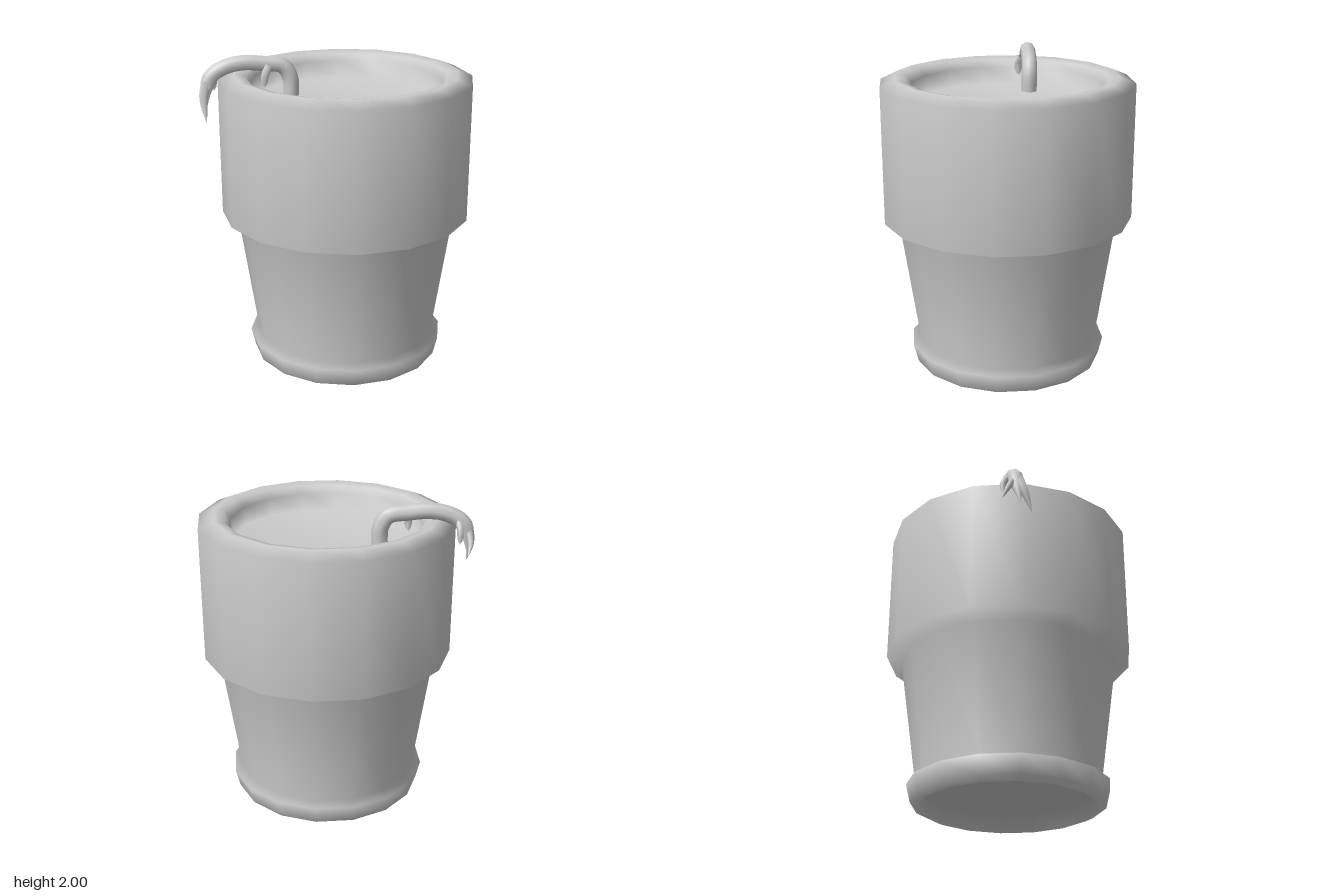
import * as THREE from 'three';

const material = new THREE.MeshStandardMaterial({ color: 0xcccccc, side: THREE.DoubleSide });
const V = (x, y, z) => new THREE.Vector3(x, y, z);

// Tube along a curve whose radius follows radiusAt(u); a zero radius closes the end
function taperedTube(name, points, radiusAt, segments = 16, sides = 8) {
  const curve = new THREE.CatmullRomCurve3(points);
  const geometry = new THREE.TubeGeometry(curve, segments, 1, sides);
  const position = geometry.attributes.position;
  const v = V(0, 0, 0);
  for (let i = 0; i < position.count; i++) {
    const u = Math.floor(i / (sides + 1)) / segments;
    const centre = curve.getPointAt(u);
    v.fromBufferAttribute(position, i).sub(centre).multiplyScalar(radiusAt(u)).add(centre);
    position.setXYZ(i, v.x, v.y, v.z);
  }
  const mesh = new THREE.Mesh(geometry, material);
  mesh.name = name;
  return mesh;
}

export function createModel() {
  const model = new THREE.Group();
  model.name = 'pottedPlant';

  // Pot: one smooth 16-sided turning, from the recessed underside
  // over foot, wall, collar and rim to the soil
  const profile = [
    [0, 0.12], [0.54, 0.12], [0.56, 0.005], [0.61, 0.03], [0.638, 0.145], [0.585, 0.17],
    [0.7, 0.96], [0.797, 1.0], [0.797, 1.86], [0.7, 1.9], [0.635, 1.885], [0.6, 1.84],
    [0.585, 1.73], [0, 1.73],
  ].map(([r, y]) => new THREE.Vector2(r, y));
  const pot = new THREE.Mesh(new THREE.LatheGeometry(profile, 16), material);
  pot.name = 'pot';
  pot.position.x = 0.06;
  model.add(pot);

  // Stem: grows from the soil, bends over the rim and droops outside
  const stem = taperedTube('stem', [
    V(-0.28, 1.71, -0.11), V(-0.285, 1.85, -0.11), V(-0.33, 1.92, -0.105), V(-0.45, 1.94, -0.09),
    V(-0.58, 1.95, -0.075), V(-0.7, 1.925, -0.06), V(-0.78, 1.87, -0.05), V(-0.81, 1.78, -0.04),
    V(-0.815, 1.66, -0.02),
  ], u => u > 0.8 ? 0.05 * (1 - u) / 0.2 : 0.05, 32, 8);
  model.add(stem);

  // Withered leaves: small hanging shoots, given as path, radius and taper power
  const leaves = [
    ['innerLeaf', [V(-0.42, 1.93, -0.05), V(-0.445, 1.88, -0.025), V(-0.45, 1.8, -0.025)], 0.026, 6],
    ['outerLeaf', [V(-0.75, 1.9, -0.08), V(-0.765, 1.84, -0.12), V(-0.765, 1.76, -0.125)], 0.022, 6],
    ['frontLeaf', [V(-0.81, 1.84, -0.03), V(-0.83, 1.75, 0), V(-0.812, 1.6, 0.05)], 0.034, 2],
    ['backLeaf', [V(-0.81, 1.84, -0.06), V(-0.83, 1.76, -0.1), V(-0.815, 1.68, -0.14)], 0.024, 2],
  ];
  for (const [name, points, radius, power] of leaves) {
    model.add(taperedTube(name, points, u => radius * (1 - u ** power), 6, 5));
  }
  return model;
}
